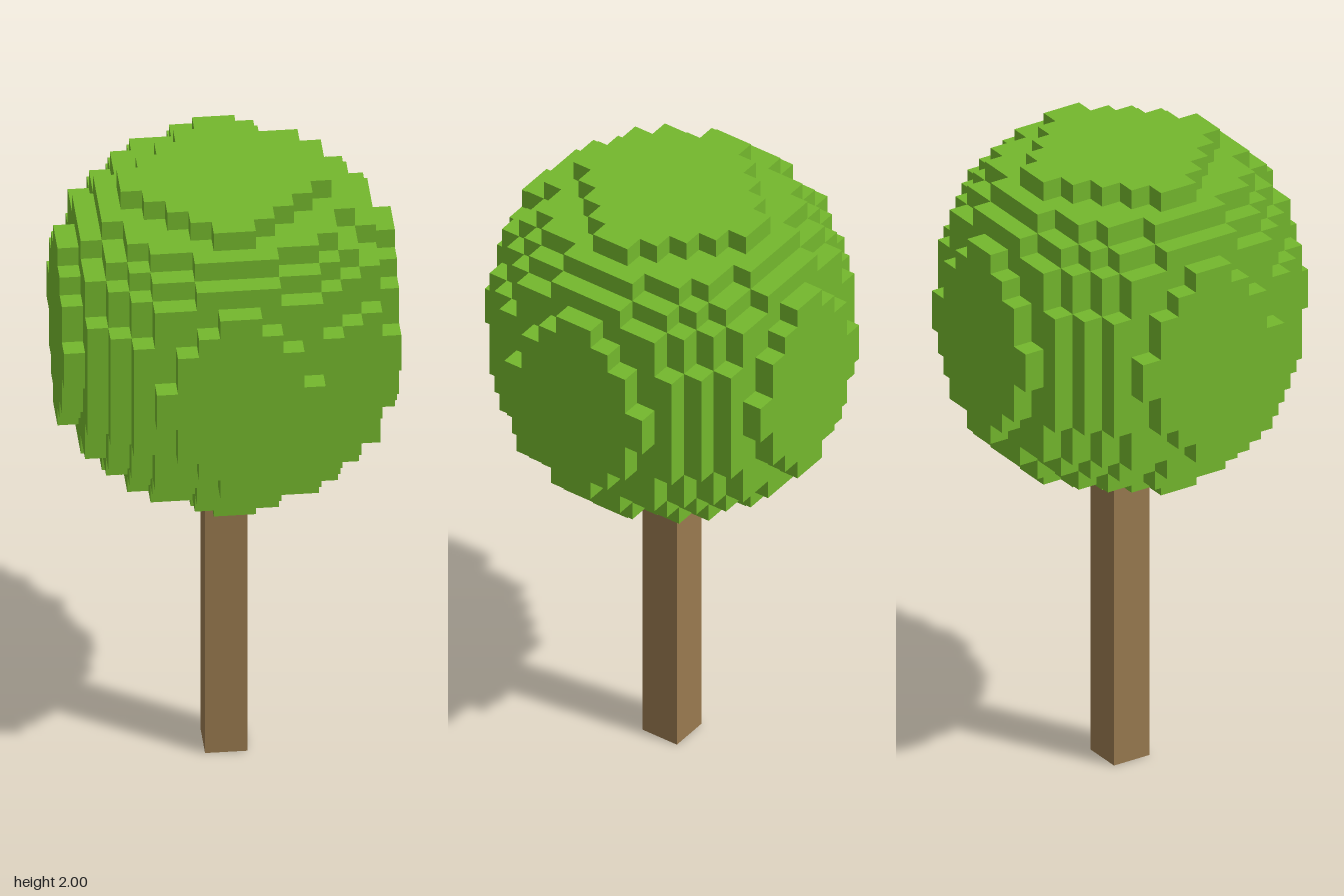
import * as THREE from 'three';

const CELL = 1 / 16;      // voxel size
const HALF = 8;           // crown is 16 voxels on each side
const CENTER_Y = 1.5;

// Squared radius (in voxels) of each crown layer, from the middle outwards
const LAYER_R2 = [69, 67, 64, 59, 57, 45, 33];

// Is the voxel at integer cell (x, y, z), each from -8 to 7, part of the crown?
function filled(x, y, z) {
  const [i, j, k] = [x, y, z].map((v) => (v < 0 ? -v - 1 : v));
  if (Math.max(i, j, k) >= HALF) return false;
  if (j === HALF - 1) return i + k <= 4;   // diamond cap at top and bottom
  return (i + 0.5) ** 2 + (k + 0.5) ** 2 <= LAYER_R2[j];
}

// Surface of the voxel ball: one quad for each exposed voxel side
function crownGeometry() {
  const positions = [];
  const normals = [];
  const addFace = (cell, axis, sign) => {
    const u = (axis + 1) % 3;
    const v = (axis + 2) % 3;
    const corners = [[0, 0], [1, 0], [1, 1], [0, 1]].map(([a, b]) => {
      const p = [...cell];
      p[axis] += sign > 0 ? 1 : 0;
      p[u] += a;
      p[v] += b;
      return [p[0] * CELL, p[1] * CELL + CENTER_Y, p[2] * CELL];
    });
    const order = sign > 0 ? [0, 1, 2, 0, 2, 3] : [0, 2, 1, 0, 3, 2];
    const normal = [0, 0, 0];
    normal[axis] = sign;
    for (const n of order) {
      positions.push(...corners[n]);
      normals.push(...normal);
    }
  };
  for (let x = -HALF; x < HALF; x++)
    for (let y = -HALF; y < HALF; y++)
      for (let z = -HALF; z < HALF; z++) {
        if (!filled(x, y, z)) continue;
        for (let axis = 0; axis < 3; axis++)
          for (const sign of [-1, 1]) {
            const next = [x, y, z];
            next[axis] += sign;
            if (!filled(...next)) addFace([x, y, z], axis, sign);
          }
      }
  const geometry = new THREE.BufferGeometry();
  geometry.setAttribute('position', new THREE.Float32BufferAttribute(positions, 3));
  geometry.setAttribute('normal', new THREE.Float32BufferAttribute(normals, 3));
  return geometry;
}

export function createModel() {
  const leafGreen = new THREE.MeshStandardMaterial({ color: 0x74b82d });
  leafGreen.name = 'leafGreen';
  const barkBrown = new THREE.MeshStandardMaterial({ color: 0x997a4f });
  barkBrown.name = 'barkBrown';

  const tree = new THREE.Group();
  tree.name = 'tree';

  // Square trunk, two voxels wide
  const trunk = new THREE.Mesh(new THREE.BoxGeometry(2 * CELL, 1, 2 * CELL), barkBrown);
  trunk.name = 'trunk';
  trunk.position.y = 0.5;

  // Stepped round crown
  const crown = new THREE.Mesh(crownGeometry(), leafGreen);
  crown.name = 'crown';

  tree.add(trunk, crown);
  return tree;
}
